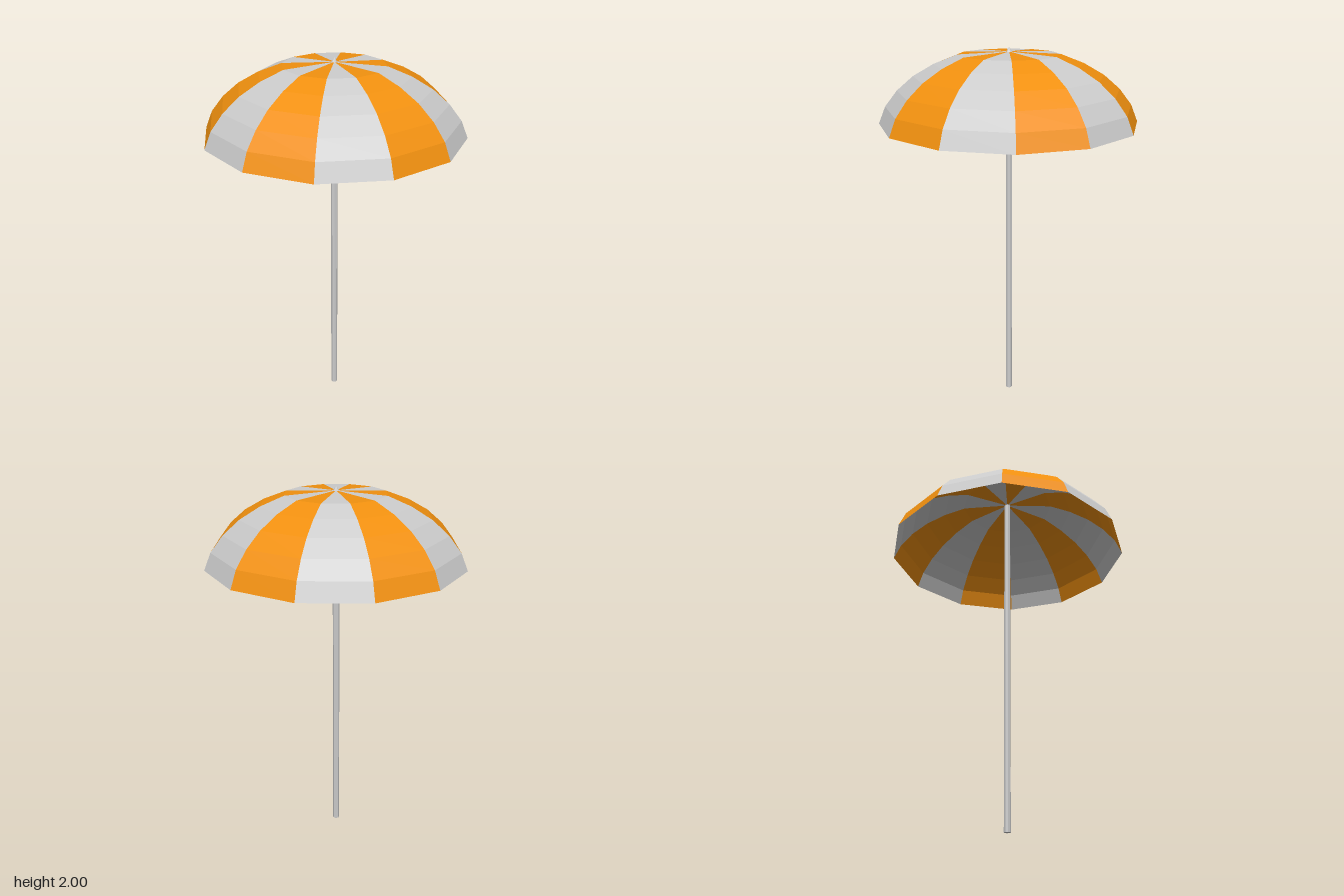
import * as THREE from 'three';

export function createModel() {
  const model = new THREE.Group();
  const grey = new THREE.MeshStandardMaterial({ color: 0xcccccc, flatShading: true });
  const panelMaterials = [0xcccccc, 0xf0900f].map((color) =>
    new THREE.MeshStandardMaterial({ color, flatShading: true, side: THREE.DoubleSide }));

  const add = (name, geometry, material, y = 0) => {
    const mesh = new THREE.Mesh(geometry, material);
    mesh.name = name;
    mesh.position.y = y;
    model.add(mesh);
  };

  // Canopy: twelve thin fabric panels in alternating colours, rim to crown
  const profile = [
    [0.677, 1.615], [0.64, 1.703], [0.575, 1.785], [0.49, 1.857],
    [0.384, 1.917], [0.264, 1.963], [0, 1.977],
  ].map(([r, y]) => new THREE.Vector2(r, y));
  const panels = 12;
  const step = (Math.PI * 2) / panels;
  for (let i = 0; i < panels; i++) {
    add(`canopyPanel${i + 1}`, new THREE.LatheGeometry(profile, 1, i * step, step), panelMaterials[i % 2]);
  }

  // Pole reaching up to the crown
  add('pole', new THREE.CylinderGeometry(0.018, 0.018, 1.97, 8), grey, 0.985);

  // Pointed finial on top
  add('finial', new THREE.ConeGeometry(0.02, 0.03, 8), grey, 1.985);

  return model;
}
